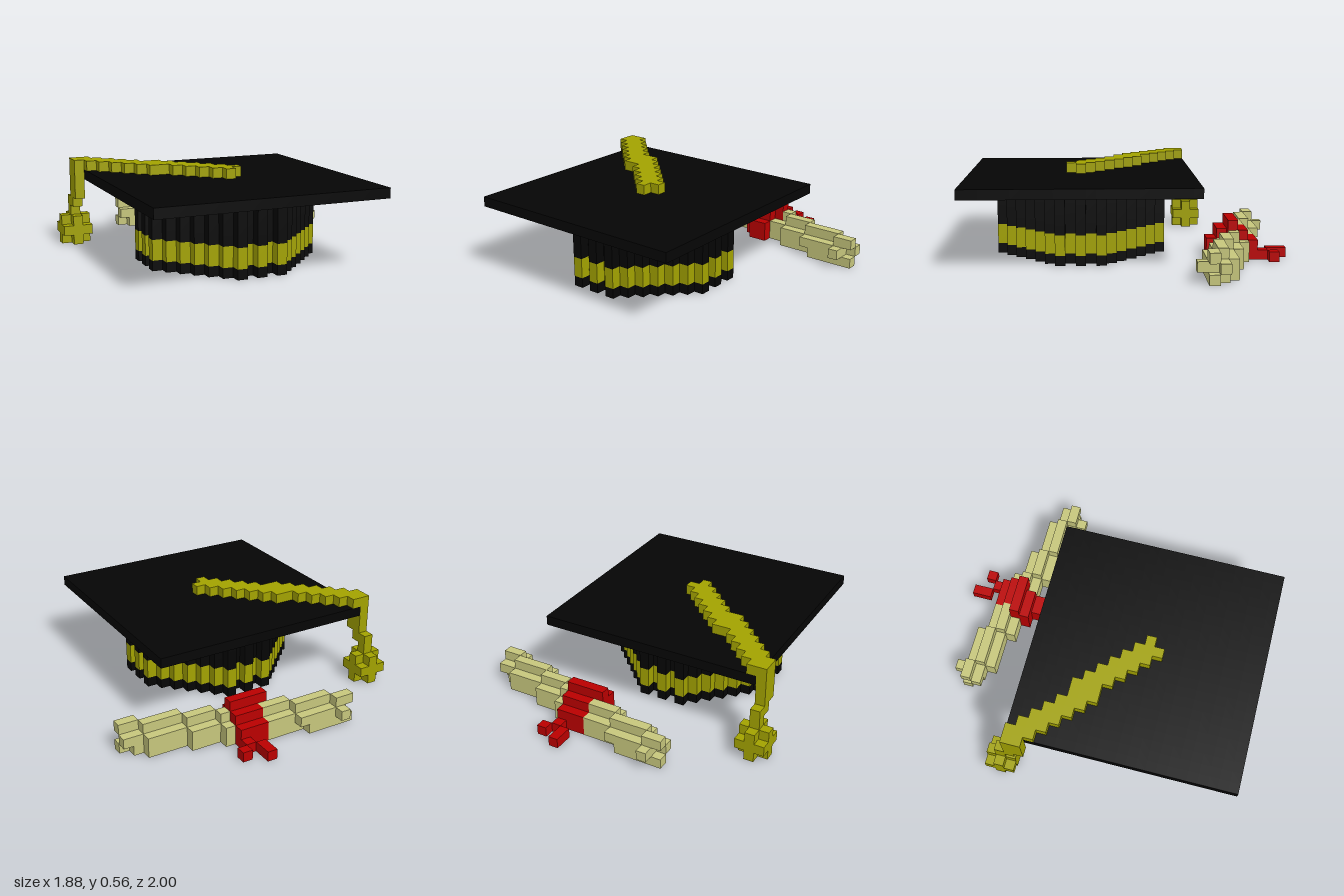
import * as THREE from 'three';
import { mergeGeometries } from 'three/addons/utils/BufferGeometryUtils.js';

const S = 0.0625; // block size
const COLORS = {
  capBody: 0x050505, goldBand: 0xa2a200, board: 0x050505, cord: 0xa2a200,
  tassel: 0xa2a200, scroll: 0xc6c67c, ribbon: 0xba0000,
};

// Six sides: direction and the rotation that turns a +z plane towards it
const H = Math.PI / 2;
const SIDES = [
  [1, 0, 0, 0, H], [-1, 0, 0, 0, -H], [0, 1, 0, -H, 0],
  [0, -1, 0, H, 0], [0, 0, 1, 0, 0], [0, 0, -1, 0, 2 * H],
];

export function createModel() {
  const cells = new Map(); // "i,j,k" -> part name
  const put = (part, i, j, k) => cells.set(`${i},${j},${k}`, part);
  const fill = (part, i0, i1, j0, j1, k0, k1) => {
    for (let i = i0; i <= i1; i++)
      for (let j = j0; j <= j1; j++)
        for (let k = k0; k <= k1; k++) put(part, i, j, k);
  };

  // Pleated cap body with a gold band: every second block of the rim is left out
  for (let x = -8; x <= 8; x++)
    for (let z = -8; z <= 8; z++) {
      const ax = Math.abs(x), az = Math.abs(z);
      const rim = Math.max(ax, az) === 8;
      if (ax + az <= 10 && !(rim && (ax + az) % 2))
        for (let j = 0; j < 7; j++)
          put(j === 1 || j === 2 ? 'goldBand' : 'capBody', 13 + x, j, 20 + z);
    }
  // Square board
  fill('board', 2, 24, 7, 7, 9, 31);

  // Cord: plus-shaped brush drawn along the diagonal of the board
  for (let i = 2; i <= 13; i++) {
    const k = i <= 7 ? i + 8 : i + 7;
    fill('cord', i - 1, i + 1, 8, 8, k, k);
    fill('cord', i, i, 8, 8, k - 1, k + 1);
  }
  // Cord hanging over the corner
  fill('cord', 1, 1, 5, 8, 9, 10);
  fill('cord', 1, 1, 4, 4, 8, 9);
  fill('cord', 1, 1, 3, 3, 8, 8);

  // Tassel: 3x3x3 ball without its corners
  for (let x = -1; x <= 1; x++)
    for (let y = -1; y <= 1; y++)
      for (let z = -1; z <= 1; z++)
        if (Math.abs(x * y * z) < 1) put('tassel', 1 + x, 1 + y, 8 + z);

  // Rolled scroll: slanted in steps [first i, last i, centre k], ridge on top
  for (const [a, b, k] of [[10, 13, 3], [14, 16, 4], [17, 20, 5], [21, 23, 6], [24, 27, 7]]) {
    fill('scroll', a, b, 0, 1, k - 1, k + 1);
    fill('scroll', a, b, 2, 2, k, k);
  }
  cells.delete('13,0,2');
  cells.delete('24,0,8');
  // Hollow scroll ends, the second is the first turned half round
  for (const [i, k, d] of [[8, 2, 1], [29, 8, -1]]) {
    for (const j of [0, 2]) {
      put('scroll', i, j, k);
      put('scroll', i + d, j, k);
    }
    put('scroll', i + d, 0, k + d);
    put('scroll', i, 1, k + d);
    for (const z of [-1, 0, 1]) put('scroll', i + d, 1, k + z);
  }

  // Ribbon wrapped round the scroll, [k, first i, last i, top j]
  for (const [k, a, b, top] of [[3, 17, 19, 1], [4, 17, 19, 2], [5, 16, 19, 3], [6, 16, 18, 2], [7, 17, 18, 1]])
    fill('ribbon', a, b, 0, top, k, k);
  // Ribbon tails on the ground
  put('ribbon', 19, 0, 2);
  put('ribbon', 20, 0, 1);
  fill('ribbon', 18, 18, 0, 0, 0, 1);

  // Only the exposed faces of the blocks become geometry
  const faces = {};
  for (const [key, part] of cells) {
    const [i, j, k] = key.split(',').map(Number);
    for (const [x, y, z, rx, ry] of SIDES) {
      if (cells.has(`${i + x},${j + y},${k + z}`)) continue;
      const g = new THREE.PlaneGeometry(S, S).rotateX(rx).rotateY(ry);
      g.translate((i - 14.5 + x / 2) * S, (j + 0.5 + y / 2) * S, (k - 15.5 + z / 2) * S);
      (faces[part] ??= []).push(g);
    }
  }

  const model = new THREE.Group();
  model.name = 'graduationCapAndScroll';
  for (const part in faces) {
    const mesh = new THREE.Mesh(
      mergeGeometries(faces[part]),
      new THREE.MeshStandardMaterial({ color: COLORS[part] }),
    );
    mesh.name = part;
    model.add(mesh);
  }
  return model;
}
